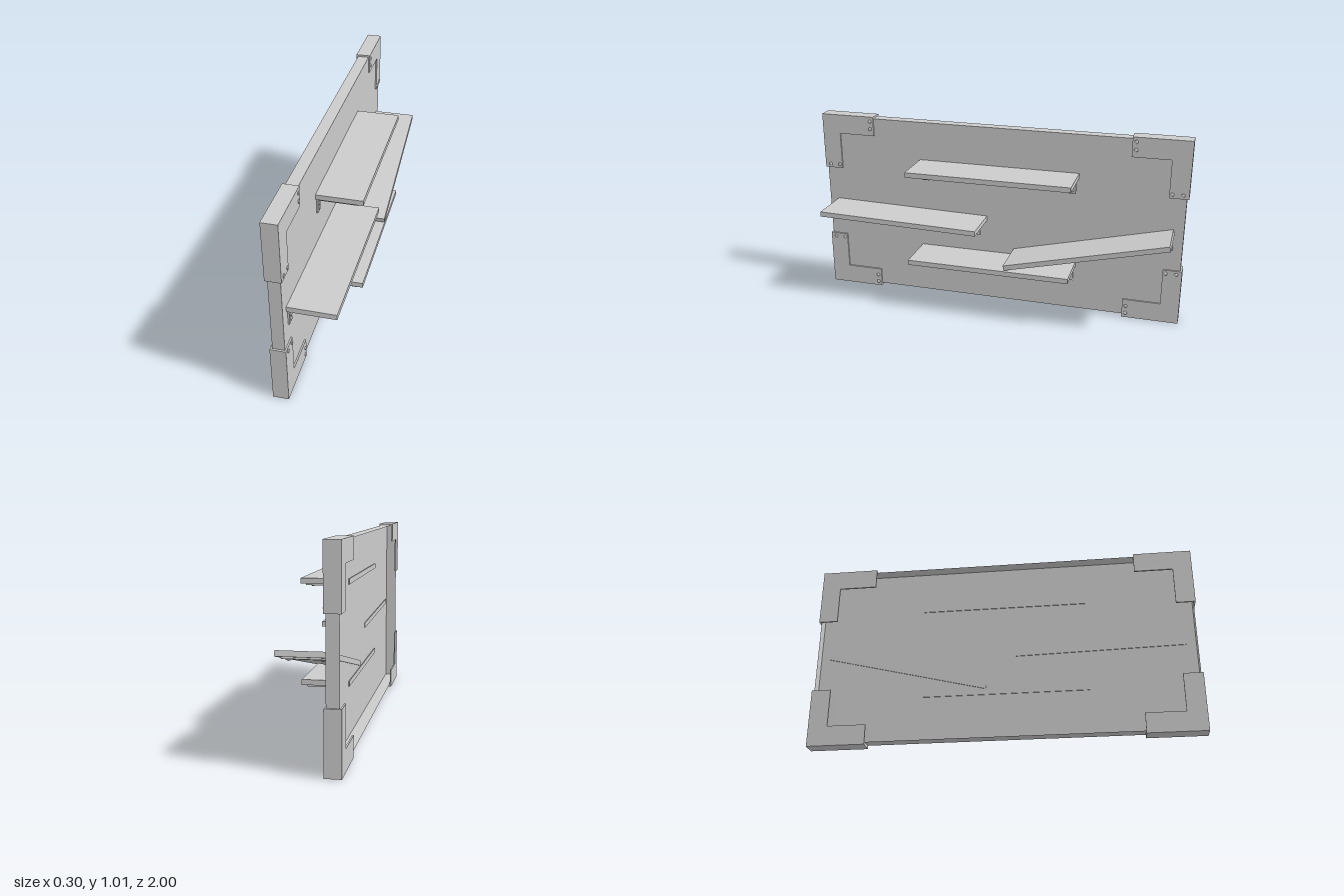
import * as THREE from 'three';

const grey = new THREE.MeshStandardMaterial({ color: 0xcccccc, flatShading: true });
const greyDouble = new THREE.MeshStandardMaterial({ color: 0xcccccc, flatShading: true, side: THREE.DoubleSide });

const WALL = -0.083; // x of the board's front face
const FACE = -0.075; // x of the front of plates fixed to the board

function add(parent, name, geometry, material = grey) {
  const mesh = new THREE.Mesh(geometry, material);
  mesh.name = name;
  parent.add(mesh);
  return mesh;
}

// Box given by its limits on each axis
function box(parent, name, x0, x1, y0, y1, z0, z1) {
  const mesh = add(parent, name, new THREE.BoxGeometry(x1 - x0, y1 - y0, Math.abs(z1 - z0)));
  mesh.position.set((x0 + x1) / 2, (y0 + y1) / 2, (z0 + z1) / 2);
  return mesh;
}

// Low domed screw head: pointing out of the wall, or down from a shelf
function screw(parent, x, y, z, down = false) {
  const profile = [[0.01, 0], [0.009, 0.003], [0.005, 0.006], [0, 0.007]];
  const geometry = new THREE.LatheGeometry(profile.map(p => new THREE.Vector2(...p)), 12);
  const mesh = add(parent, 'screw', geometry);
  mesh.rotation.z = down ? Math.PI : -Math.PI / 2;
  mesh.position.set(x, y, z);
}

// Hollow board, open at the back
function createBoard() {
  const geometry = new THREE.BoxGeometry(0.06, 0.985, 1.98);
  const index = Array.from(geometry.index.array);
  index.splice(6, 6); // remove the back face
  geometry.setIndex(index);
  geometry.clearGroups();
  geometry.translate(WALL - 0.03, 0.5075, 0);
  return geometry;
}

// Corner cap: L plates front and back joined by two outer walls
function createCap(sz, top) {
  const cap = new THREE.Group();
  cap.name = 'cornerCap';
  const edge = top ? 1.01 : 0, sy = top ? -1 : 1;
  const outline = [[0, 0], [0.3, 0], [0.3, 0.105], [0.1, 0.105], [0.1, 0.305], [0, 0.305]];
  const shape = new THREE.Shape(outline.map(([a, b]) => new THREE.Vector2(sz * (1 - a), edge + sy * b)));
  for (const [name, x] of [['frontPlate', FACE], ['backPlate', -0.145]]) {
    const geometry = new THREE.ExtrudeGeometry(shape, { depth: 0.008, bevelEnabled: false });
    geometry.rotateY(-Math.PI / 2);
    add(cap, name, geometry).position.x = x;
  }
  const y0 = top ? 0.705 : 0, y1 = top ? 1.01 : 0.305;
  box(cap, 'endWall', -0.153, FACE, y0, y1, sz * 0.99, sz);
  box(cap, 'edgeWall', -0.153, FACE, top ? 1 : 0, top ? 1.01 : 0.015, sz * 0.7, sz);
  for (const b of [0.025, 0.067]) screw(cap, FACE, edge + sy * b, sz * 0.72);
  for (const a of [0.03, 0.085]) screw(cap, FACE, edge + sy * 0.285, sz * (1 - a));
  return cap;
}

// Angle bracket whose top lies at y = 0
function createBracket() {
  const bracket = new THREE.Group();
  bracket.name = 'bracket';
  box(bracket, 'shelfPlate', WALL, 0.125, -0.008, 0, -0.025, 0.025);
  box(bracket, 'wallPlate', WALL, FACE, -0.085, 0, -0.02, 0.02);
  for (const y of [-0.04, -0.065]) screw(bracket, FACE, y, 0);
  for (const x of [-0.055, 0.095]) screw(bracket, x, -0.008, 0, true);
  return bracket;
}

// Shelf centred at (y, z), tilted about x, with brackets at the given offsets
function createShelf(y, z, length, tilt, offsets) {
  const shelf = new THREE.Group();
  shelf.name = 'shelf';
  box(shelf, 'shelfBoard', WALL - 0.004, 0.15, -0.0135, 0.0135, -length / 2, length / 2);
  for (const offset of offsets) {
    const bracket = createBracket();
    bracket.position.set(0, -0.0135, offset);
    shelf.add(bracket);
  }
  shelf.position.set(0, y, z);
  shelf.rotation.x = tilt;
  return shelf;
}

export function createModel() {
  const model = new THREE.Group();
  model.name = 'wallShelf';
  add(model, 'board', createBoard(), greyDouble);
  for (const sz of [-1, 1]) for (const top of [false, true]) model.add(createCap(sz, top));

  // Two level shelves, one nearly level, one leaning on the lowest
  model.add(createShelf(0.778, 0, 0.875, 0, [-0.405, 0.405]));
  model.add(createShelf(0.28, 0, 0.875, 0, [-0.405, 0.405]));
  model.add(createShelf(0.498, 0.5, 0.88, -0.021, [-0.385, 0.405]));
  model.add(createShelf(0.417, -0.517, 0.87, 0.242, [-0.395]));
  return model;
}
